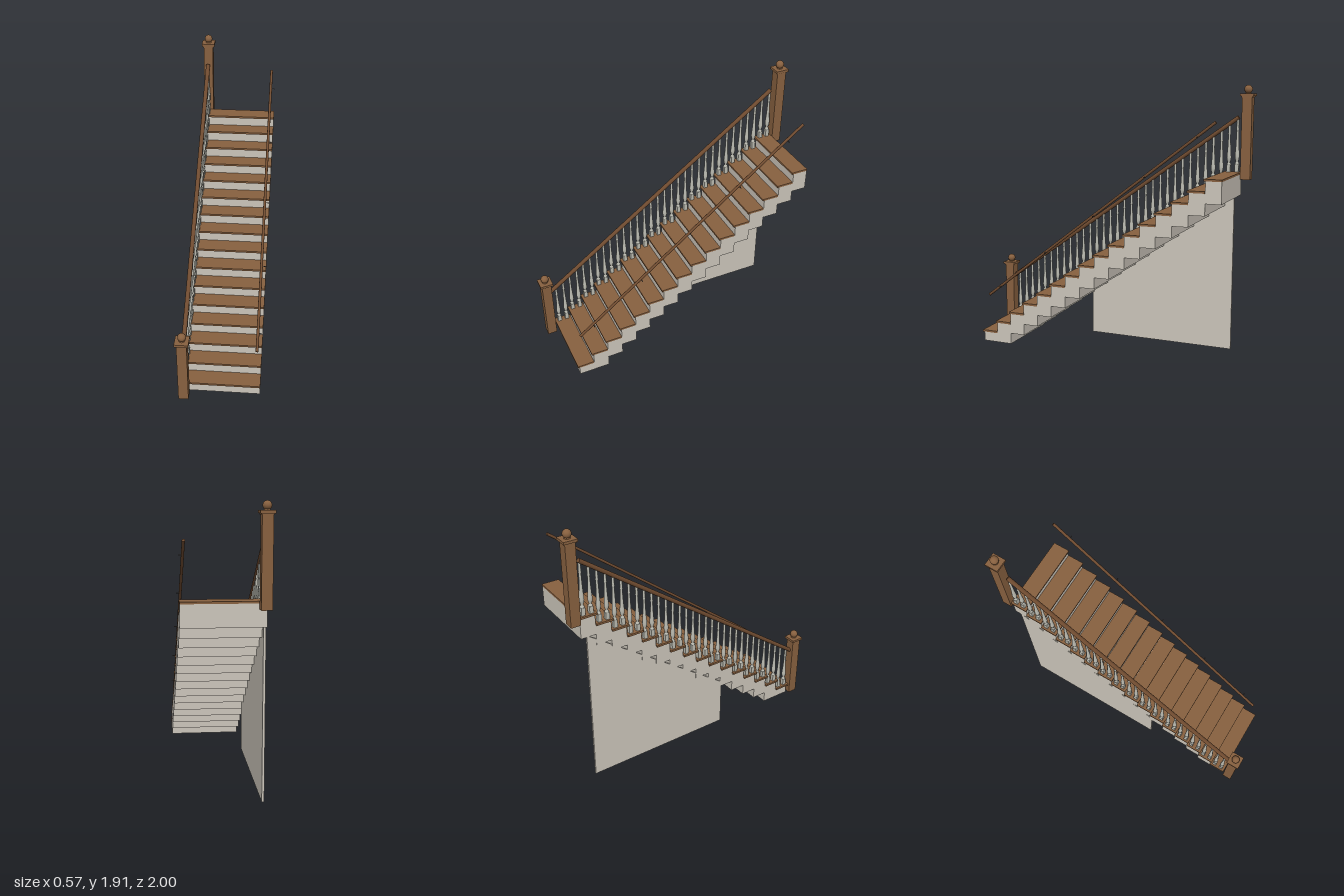
import * as THREE from 'three';

const STEPS = 16, RISE = 0.0815, RUN = 0.1135;
const RIGHT = 0.283, LEFT = -0.255, BACK = -0.915, RAIL_X = -0.24;

export function createModel() {
  const model = new THREE.Group();
  model.name = 'staircase';
  const mat = (name, color, side = THREE.FrontSide) => {
    const m = new THREE.MeshStandardMaterial({ color, side });
    m.name = name;
    return m;
  };
  const wood = mat('wood', 0x87603f);
  const darkWood = mat('darkWood', 0x6e4a2f);
  const plaster = mat('plaster', 0xcbc5ba);
  const paint = mat('balusterPaint', 0xbcbcb2, THREE.DoubleSide);
  const metal = mat('bracketMetal', 0x55504a);

  const add = (name, geo, material, x = 0, y = 0, z = 0, parent = model) => {
    const m = new THREE.Mesh(geo, material);
    m.name = name;
    m.position.set(x, y, z);
    parent.add(m);
    return m;
  };
  // Extrudes a side profile of [z, y] points between two x positions
  const sideExtrude = (points, x0, x1) => {
    const shape = new THREE.Shape(points.map(([z, y]) => new THREE.Vector2(z, y)));
    const g = new THREE.ExtrudeGeometry(shape, { depth: x1 - x0, bevelEnabled: false });
    return g.rotateY(-Math.PI / 2).translate(x1, 0, 0);
  };

  // Stepped body: risers above, matching stepped soffit below
  const profile = [];
  const front = 0.897;
  for (let i = 0; i < STEPS; i++) {
    const z = front - RUN * i, top = RISE * (i + 1) - 0.008;
    profile.push([z, i === 0 ? 0 : RISE * i - 0.008], [z, top]);
  }
  profile.push([BACK, RISE * STEPS - 0.008], [BACK, RISE * (STEPS - 2)]);
  for (let i = STEPS - 3; i >= 0; i--) {
    const z = front - RUN * (i + 2);
    profile.push([z, RISE * (i + 1)], [z, RISE * i]);
  }
  add('stairBody', sideExtrude(profile, LEFT, RIGHT), plaster);

  // Wall under the flight
  add('supportWall', sideExtrude(
    [[0.228, 0], [0.228, 0.362], [-0.872, 1.152], [-0.872, 0]], LEFT + 0.002, LEFT + 0.018), plaster);

  // Treads with a nosing at the front and at the open side
  const treads = new THREE.Group();
  treads.name = 'treads';
  model.add(treads);
  const treadLeft = -0.268;
  const treadGeo = new THREE.BoxGeometry(RIGHT + 0.001 - treadLeft, 0.014, 0.124);
  for (let i = 0; i < STEPS; i++) {
    add('tread', treadGeo, wood, (RIGHT + 0.001 + treadLeft) / 2,
      RISE * (i + 1) - 0.007, 0.91 - 0.062 - RUN * i, treads);
  }

  // Newel posts with a cap and a ball
  const newel = (name, z, bottom, top) => {
    const g = new THREE.Group();
    g.name = name;
    g.position.set(RAIL_X, 0, z);
    model.add(g);
    add('post', new THREE.BoxGeometry(0.07, top - bottom, 0.07), wood, 0, (top + bottom) / 2, 0, g);
    add('capMoulding', new THREE.BoxGeometry(0.08, 0.008, 0.08), wood, 0, top - 0.004, 0, g);
    add('cap', new THREE.BoxGeometry(0.096, 0.018, 0.096), wood, 0, top + 0.009, 0, g);
    add('ballNeck', new THREE.CylinderGeometry(0.015, 0.022, 0.01, 16), wood, 0, top + 0.022, 0, g);
    add('ball', new THREE.SphereGeometry(0.029, 20, 14), wood, 0, top + 0.047, 0, g);
  };
  newel('frontNewel', 0.952, 0, 0.486);
  newel('backNewel', -0.952, 1.255, 1.834);

  // Straight rail between two [z, y] points, built from a round section
  const rail = (name, x, [z0, y0], [z1, y1], rx, ry) => {
    const length = Math.hypot(z1 - z0, y1 - y0);
    const geo = new THREE.CylinderGeometry(1, 1, length, 14).scale(rx, 1, ry);
    const m = add(name, geo, darkWood, x, (y0 + y1) / 2, (z0 + z1) / 2);
    m.rotation.x = Math.atan2(z1 - z0, y1 - y0);
  };
  const railStart = [0.917, 0.395], railEnd = [-0.89, 1.688];
  rail('balustradeRail', RAIL_X, railStart, railEnd, 0.016, 0.015);
  const wallStart = [0.86, 0.355], wallEnd = [-0.86, 1.672];
  rail('wallRail', 0.255, wallStart, wallEnd, 0.01, 0.01);

  // Brackets of the wall rail
  const bracketGeo = new THREE.CylinderGeometry(0.003, 0.003, 0.03, 8).rotateZ(Math.PI / 2);
  for (const t of [0.06, 0.28, 0.5, 0.72, 0.93]) {
    add('railBracket', bracketGeo, metal, 0.269,
      THREE.MathUtils.lerp(wallStart[1], wallEnd[1], t) - 0.006,
      THREE.MathUtils.lerp(wallStart[0], wallEnd[0], t));
  }

  // Turned balusters, two on each tread, stretched up to the rail
  const balusters = new THREE.Group();
  balusters.name = 'balusters';
  model.add(balusters);
  const turned = new THREE.LatheGeometry([
    [0.014, 0.15], [0.016, 0.17], [0.010, 0.19], [0.009, 0.21], [0.014, 0.25], [0.0165, 0.30],
    [0.0155, 0.36], [0.012, 0.48], [0.0095, 0.64], [0.008, 0.8], [0.011, 0.82], [0.009, 0.84], [0.009, 1],
  ].map(([r, y]) => new THREE.Vector2(r, y)), 10);
  const block = new THREE.BoxGeometry(0.028, 0.15, 0.028).translate(0, 0.075, 0);
  const slope = (railEnd[1] - railStart[1]) / (railStart[0] - railEnd[0]);
  for (let i = 0; i < STEPS; i++) {
    for (const offset of [0.034, 0.092]) {
      const z = 0.91 - RUN * i - offset, y = RISE * (i + 1);
      const height = railStart[1] + slope * (railStart[0] - z) - 0.012 - y;
      const b = new THREE.Group();
      b.name = 'baluster';
      b.position.set(RAIL_X, y, z);
      b.scale.y = height;
      balusters.add(b);
      add('balusterBlock', block, paint, 0, 0, 0, b);
      add('balusterShaft', turned, paint, 0, 0, 0, b);
    }
  }
  return model;
}
